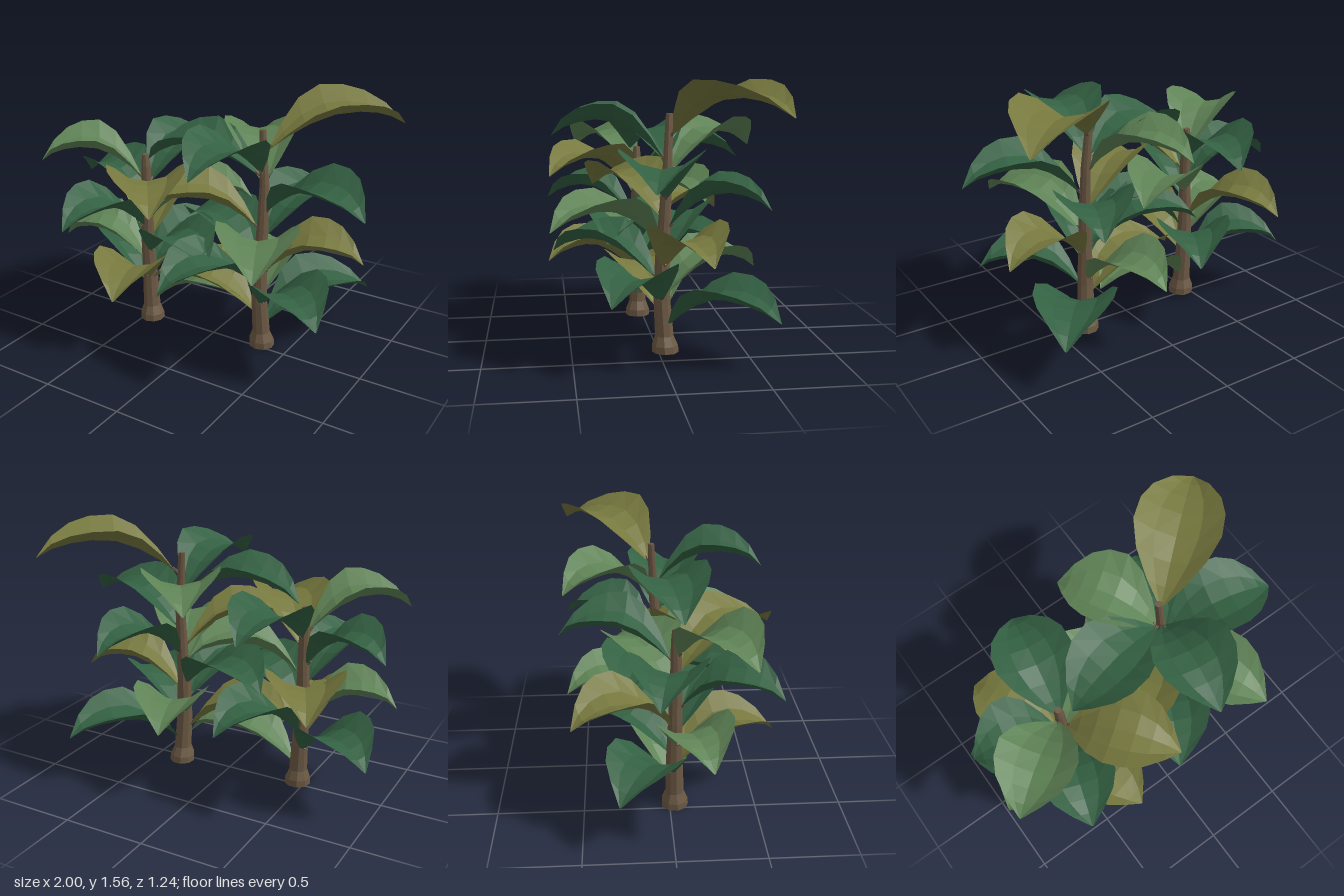
import * as THREE from 'three';

const flat = (name, color, side = THREE.FrontSide) => {
  const m = new THREE.MeshStandardMaterial({ color, flatShading: true, side });
  m.name = name;
  return m;
};
const bark = flat('bark brown', 0x6b5843);
const darkGreen = flat('dark green', 0x336042, THREE.DoubleSide);
const lightGreen = flat('light green', 0x5e8255, THREE.DoubleSide);
const olive = flat('olive', 0x76783e, THREE.DoubleSide);

// Trunk centre line [y, x, z] for each plant, leaves as [azimuth, height, length, colour, pitch]
const plants = [
  {
    name: 'shortPlant', height: 1.12,
    path: [[0, -0.455, 0.03], [0.3, -0.467, 0.025], [0.6, -0.477, 0.03], [0.9, -0.465, 0.035], [1.15, -0.475, 0.03]],
    leaves: [
      [144, 0.98, 0.63, lightGreen], [279, 0.94, 0.65, darkGreen], [53, 0.87, 0.71, olive],
      [192, 0.78, 0.54, darkGreen], [328, 0.72, 0.66, lightGreen], [108, 0.655, 0.61, darkGreen],
      [245, 0.55, 0.63, olive], [22, 0.48, 0.64, darkGreen], [162, 0.42, 0.55, lightGreen],
      [298, 0.35, 0.62, darkGreen], [75, 0.295, 0.61, olive], [211, 0.23, 0.615, darkGreen],
      [352, 0.14, 0.7, lightGreen],
    ],
  },
  {
    name: 'tallPlant', height: 1.37,
    path: [[0, 0.325, -0.043], [0.4, 0.307, -0.018], [0.7, 0.313, -0.033], [1.0, 0.315, -0.052], [1.37, 0.285, -0.068]],
    leaves: [
      [-40, 1.26, 0.835, olive], [169, 1.11, 0.72, darkGreen, -0.15], [98, 1.13, 0.66, darkGreen],
      [237, 1.05, 0.645, lightGreen], [12, 0.9, 0.7, darkGreen], [148, 0.79, 0.7, olive],
      [291, 0.73, 0.61, darkGreen], [65, 0.65, 0.71, lightGreen], [200, 0.54, 0.69, darkGreen],
      [-18, 0.5, 0.61, olive], [117, 0.43, 0.68, darkGreen], [253, 0.33, 0.61, lightGreen],
      [32, 0.295, 0.63, darkGreen], [-51, 0.16, 0.73, darkGreen], [168, 0.23, 0.71, olive],
    ],
  },
];

// Piecewise linear lookup in rows of [key, value, value...]
function sample(rows, key, column) {
  for (let i = 1; i < rows.length; i++) {
    if (key <= rows[i][0] || i === rows.length - 1) {
      const a = rows[i - 1], b = rows[i];
      const t = Math.min(1, (key - a[0]) / (b[0] - a[0]));
      return a[column] + (b[column] - a[column]) * t;
    }
  }
}

// Flared, gently bent trunk
const trunkRings = [[0, 0.079], [0.04, 0.077], [0.095, 0.055], [0.3, 0.049], [0.55, 0.042],
  [0.8, 0.035], [1.05, 0.029], [1.37, 0.017]];
function makeTrunk({ path, height }) {
  const rings = trunkRings.filter(([y]) => y < height - 0.02);
  rings.push([height, 0.02]);
  const g = new THREE.CylinderGeometry(1, 1, rings.length - 1, 9, rings.length - 1);
  const p = g.attributes.position;
  for (let i = 0; i < p.count; i++) {
    const [y, r] = rings[Math.round(p.getY(i) + (rings.length - 1) / 2)];
    p.setXYZ(i, p.getX(i) * r + sample(path, y, 1), y, p.getZ(i) * r + sample(path, y, 2));
  }
  g.computeVertexNormals();
  const mesh = new THREE.Mesh(g, bark);
  mesh.name = 'trunk';
  return mesh;
}

// Leaf stations: [along, half width, midrib height, rise of the rim above the midrib]
const stations = [[0.05, 0.014, 0, 0.005], [0.15, 0.1, 0.068, 0.052], [0.29, 0.185, 0.14, 0.1],
  [0.45, 0.23, 0.193, 0.109], [0.62, 0.222, 0.207, 0.093], [0.76, 0.18, 0.193, 0.08],
  [0.89, 0.1, 0.163, 0.052], [1, 0.004, 0.115, 0]];
function makeLeaf(length, material) {
  const across = 4, last = stations.length - 1;
  const g = new THREE.PlaneGeometry(1, 1, across, last);
  const p = g.attributes.position;
  for (let i = 0; i < p.count; i++) {
    const t = (i % (across + 1)) / across * 2 - 1;
    const [along, half, mid, rim] = stations[last - Math.floor(i / (across + 1))];
    p.setXYZ(i, along * length, mid + rim * t * t, t * half * (0.65 + 0.5 * length));
  }
  g.computeVertexNormals();
  const mesh = new THREE.Mesh(g, material);
  mesh.name = 'leafBlade';
  return mesh;
}

// Short stalk joining the leaf to the trunk
function makeStalk() {
  const g = new THREE.CylinderGeometry(0.006, 0.012, 0.06, 5);
  g.rotateZ(-Math.PI / 4);
  g.translate(0.03, 0, 0);
  const mesh = new THREE.Mesh(g, bark);
  mesh.name = 'leafStalk';
  return mesh;
}

export function createModel() {
  const model = new THREE.Group();
  model.name = 'broadLeafPlants';
  for (const plant of plants) {
    const group = new THREE.Group();
    group.name = plant.name;
    group.add(makeTrunk(plant));
    for (const [azimuth, y, length, material, pitch = 0] of plant.leaves) {
      const leaf = new THREE.Group();
      leaf.name = 'leaf';
      leaf.add(makeLeaf(length, material), makeStalk());
      leaf.position.set(sample(plant.path, y, 1), y, sample(plant.path, y, 2));
      leaf.rotation.set(0, -THREE.MathUtils.degToRad(azimuth), pitch);
      group.add(leaf);
    }
    model.add(group);
  }
  return model;
}
